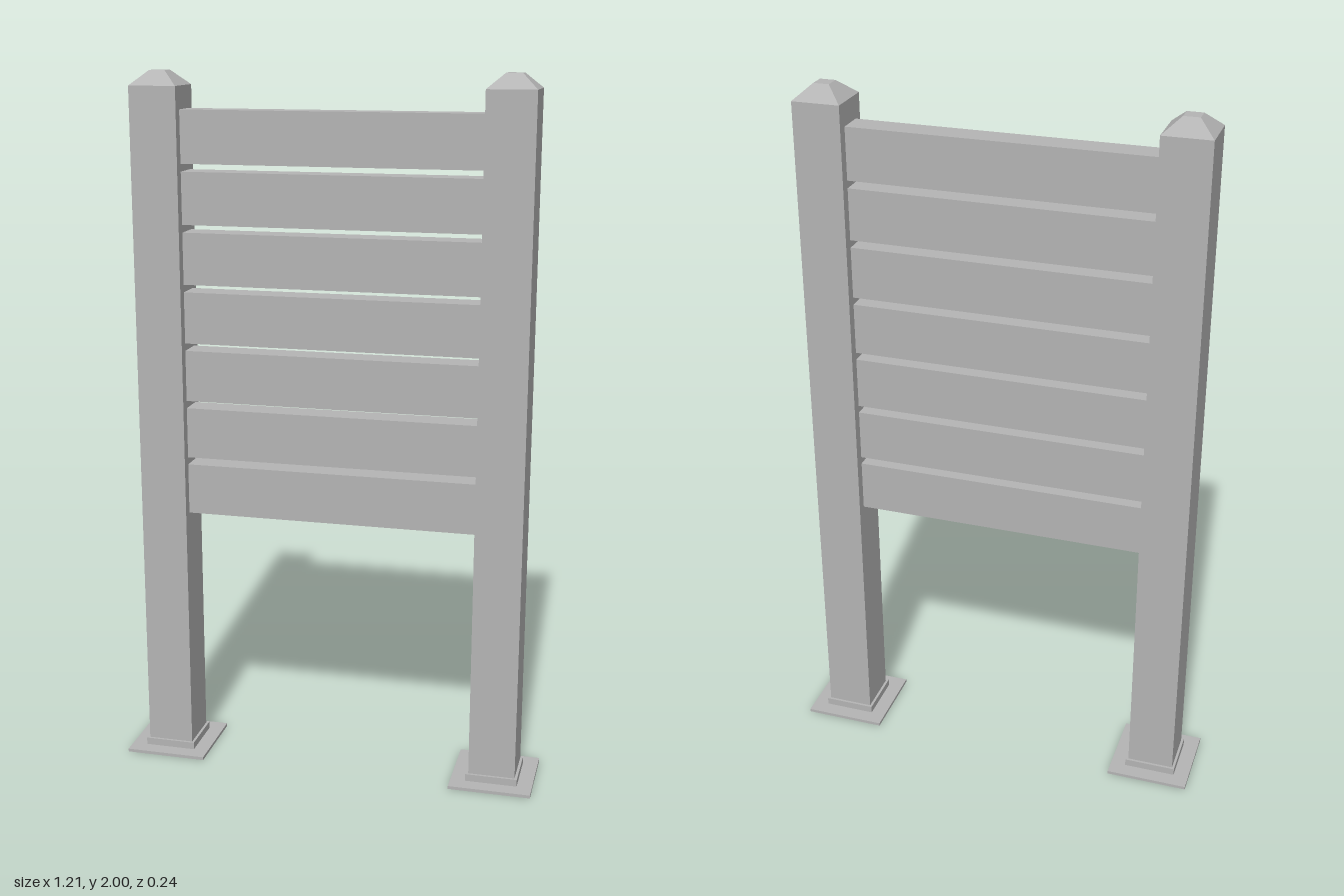
import * as THREE from 'three';

const grey = new THREE.MeshStandardMaterial({ color: 0xb4b4b4 });
grey.name = 'painted grey';

// Box whose bottom sits at height y
function block(name, w, h, d, y) {
  const mesh = new THREE.Mesh(new THREE.BoxGeometry(w, h, d), grey);
  mesh.name = name;
  mesh.position.y = y + h / 2;
  return mesh;
}

// Four-sided frustum with flat faces aligned to the axes
function frustum(name, topWidth, bottomWidth, h, y) {
  const geo = new THREE.CylinderGeometry(topWidth * Math.SQRT1_2, bottomWidth * Math.SQRT1_2, h, 4)
    .rotateY(Math.PI / 4)
    .toNonIndexed();
  geo.computeVertexNormals();
  const mesh = new THREE.Mesh(geo, grey);
  mesh.name = name;
  mesh.position.y = y + h / 2;
  return mesh;
}

export function createModel() {
  const model = new THREE.Group();
  model.name = 'slattedFencePanel';

  // Posts with base plate, collar and bevelled cap
  for (const side of [-1, 1]) {
    const post = new THREE.Group();
    post.name = side > 0 ? 'leftPost' : 'rightPost';
    post.position.x = side * 0.487;
    post.add(
      block('basePlate', 0.236, 0.009, 0.236, 0),
      block('collar', 0.149, 0.021, 0.149, 0.009),
      block('shaft', 0.134, 1.93, 0.134, 0.03),
      frustum('cap', 0.044, 0.134, 0.04, 1.96)
    );
    model.add(post);
  }

  // Seven horizontal slats between the posts
  for (let i = 0; i < 7; i++) {
    model.add(block(`slat${i + 1}`, 0.842, 0.146, 0.076, 0.747 + i * 0.1673));
  }
  return model;
}
